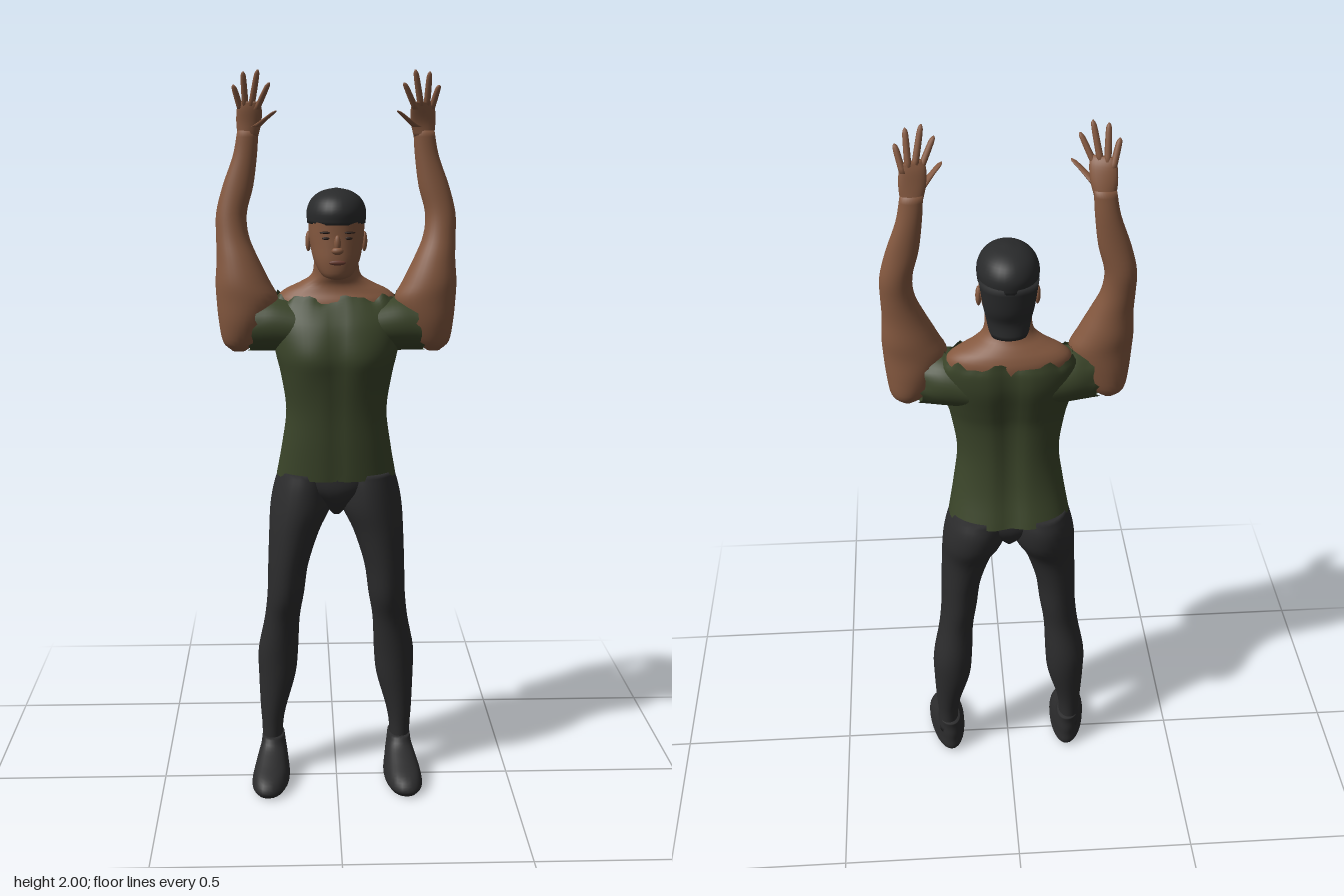
import * as THREE from 'three';

const mat = (name, color, side = THREE.FrontSide) => {
  const m = new THREE.MeshStandardMaterial({ color, side });
  m.name = name;
  return m;
};

// Smooth skin over horizontal elliptical rings [x, y, z, rx, rz], listed bottom up.
// bend(v, angle, t) may move each vertex.
function loft(rings, { seg = 28, sub = 4, square = 1, caps = true, bend } = {}) {
  const centre = new THREE.CatmullRomCurve3(rings.map(r => new THREE.Vector3(r[0], r[1], r[2])), false, 'catmullrom');
  const radii = new THREE.CatmullRomCurve3(rings.map(r => new THREE.Vector3(r[3], r[4], 0)), false, 'catmullrom');
  const rows = (rings.length - 1) * sub, pos = [], idx = [];
  const pw = n => Math.sign(n) * Math.abs(n) ** square;
  for (let i = 0; i <= rows; i++) {
    const t = i / rows, c = centre.getPoint(t), r = radii.getPoint(t);
    for (let j = 0; j < seg; j++) {
      const a = j / seg * Math.PI * 2;
      const v = new THREE.Vector3(c.x + r.x * pw(Math.sin(a)), c.y, c.z + r.y * pw(Math.cos(a)));
      if (bend) bend(v, a, t);
      pos.push(v.x, v.y, v.z);
      const k = i * seg + j, n = i * seg + (j + 1) % seg;
      if (i < rows) idx.push(k, n, n + seg, k, n + seg, k + seg);
    }
  }
  if (caps) {
    for (const row of [0, rows]) {
      const c = centre.getPoint(row / rows), m = new THREE.Vector3(c.x, c.y, c.z), id = pos.length / 3;
      if (bend) bend(m, 0, row / rows);
      pos.push(m.x, m.y, m.z);
      for (let j = 0; j < seg; j++) {
        const k = row * seg + j, n = row * seg + (j + 1) % seg;
        row ? idx.push(k, n, id) : idx.push(n, k, id);
      }
    }
  }
  const g = new THREE.BufferGeometry();
  g.setAttribute('position', new THREE.Float32BufferAttribute(pos, 3));
  g.setIndex(idx);
  g.computeVertexNormals();
  return g;
}

// Copy on the other side of x = 0, with corner order flipped
function mirrored(geo) {
  const g = geo.clone().scale(-1, 1, 1), a = g.index.array;
  for (let i = 0; i < a.length; i += 3) [a[i], a[i + 1]] = [a[i + 1], a[i]];
  g.computeVertexNormals();
  return g;
}

const blob = (x, y, z, rx, ry, rz) => new THREE.SphereGeometry(1, 16, 12).scale(rx, ry, rz).translate(x, y, z);
const bump = (d, w) => Math.exp(-((d / w) ** 2));
const jag = a => 0.008 * Math.sin(9 * a) + 0.005 * Math.sin(17 * a + 1);

export function createModel() {
  const group = new THREE.Group();
  const skin = mat('brown skin', 0x84583f);
  const shirt = mat('olive shirt', 0x3a4429, THREE.DoubleSide);
  const trousers = mat('charcoal cloth', 0x2c2c2d);
  const hairMat = mat('dark hair', 0x292a2b);
  const lipMat = mat('lips', 0x6a3c30);
  const eyeMat = mat('eyes', 0x2a1c16);
  const add = (name, geo, m) => {
    const mesh = new THREE.Mesh(geo, m);
    mesh.name = name;
    group.add(mesh);
  };
  const pair = (name, geo, m) => {
    add(name + 'Left', geo, m);
    add(name + 'Right', mirrored(geo), m);
  };

  // Shirt body with chest, spine groove and torn neckline
  add('shirtBody', loft([
    [0, 0.91, -0.04, 0.166, 0.115], [0, 1.0, -0.022, 0.15, 0.102], [0, 1.1, -0.012, 0.138, 0.097],
    [0, 1.2, -0.006, 0.152, 0.102], [0, 1.26, -0.01, 0.166, 0.11], [0, 1.33, -0.028, 0.176, 0.11],
    [0, 1.38, -0.045, 0.178, 0.095], [0, 1.408, -0.054, 0.165, 0.08],
  ], {
    seg: 64, square: 0.85, caps: false,
    bend(v, a, t) {
      if (v.z > 0) v.z += 0.008 * bump(Math.abs(v.x) - 0.07, 0.05) * bump(v.y - 1.25, 0.06) - 0.005 * bump(v.x, 0.02);
      else v.z += 0.014 * bump(v.x, 0.03);
      v.y += jag(a) * t ** 10;
    },
  }), shirt);

  // Sleeves: lofted upright, then laid along x
  pair('sleeve', loft([
    [-1.325, 0.1, -0.03, 0.07, 0.09], [-1.333, 0.17, -0.025, 0.073, 0.084], [-1.332, 0.222, -0.018, 0.071, 0.072],
  ], {
    seg: 40, caps: false,
    bend(v, a, t) { v.y += t * (0.2 * (v.x + 1.333)) + jag(a) * 0.6 * t ** 6; },
  }).rotateZ(-Math.PI / 2).scale(1, 1, 1), shirt);

  // Shoulders and neck
  add('shouldersAndNeck', loft([
    [0, 1.32, -0.04, 0.16, 0.08], [0, 1.39, -0.046, 0.165, 0.08], [0, 1.42, -0.05, 0.145, 0.07],
    [0, 1.443, -0.045, 0.1, 0.062], [0, 1.465, -0.032, 0.068, 0.058], [0, 1.5, -0.02, 0.06, 0.055], [0, 1.56, -0.015, 0.06, 0.055],
  ], { seg: 36 }), skin);

  // Head
  add('head', loft([
    [0, 1.463, 0.05, 0.016, 0.016], [0, 1.474, 0.042, 0.04, 0.04], [0, 1.51, 0.017, 0.061, 0.071],
    [0, 1.55, 0.0, 0.07, 0.087], [0, 1.58, -0.006, 0.074, 0.092], [0, 1.63, -0.01, 0.075, 0.097],
  ], { seg: 32, square: 0.92 }), skin);
  add('noseBridge', blob(0, 1.56, 0.088, 0.009, 0.022, 0.009), skin);
  add('noseTip', blob(0, 1.541, 0.09, 0.016, 0.01, 0.011), skin);
  add('lips', blob(0, 1.51, 0.085, 0.022, 0.007, 0.006), lipMat);
  pair('eye', blob(0.028, 1.573, 0.079, 0.012, 0.004, 0.005), eyeMat);
  pair('eyebrow', blob(0.03, 1.588, 0.08, 0.017, 0.003, 0.005), eyeMat);
  pair('ear', blob(0.075, 1.557, -0.012, 0.008, 0.027, 0.015), skin);

  // Cap-like hair and the hair behind the neck
  add('hairCap', loft([
    [0, 1.607, -0.012, 0.078, 0.1], [0, 1.64, -0.012, 0.079, 0.103], [0, 1.67, -0.012, 0.066, 0.086],
    [0, 1.689, -0.012, 0.04, 0.053], [0, 1.697, -0.012, 0.008, 0.01],
  ], { seg: 32 }), hairMat);
  add('hairBack', loft([
    [0, 1.468, -0.052, 0.05, 0.042], [0, 1.51, -0.045, 0.058, 0.046], [0, 1.55, -0.05, 0.066, 0.055], [0, 1.62, -0.05, 0.076, 0.063],
  ]), hairMat);

  // Arms raised, with swollen upper arms
  pair('arm', loft([
    [0.265, 1.26, -0.02, 0.018, 0.02], [0.262, 1.285, -0.02, 0.046, 0.045], [0.25, 1.34, -0.015, 0.068, 0.058],
    [0.24, 1.4, -0.013, 0.083, 0.061], [0.252, 1.45, -0.015, 0.073, 0.06], [0.265, 1.51, -0.02, 0.056, 0.05],
    [0.278, 1.57, -0.03, 0.044, 0.04], [0.28, 1.63, -0.038, 0.041, 0.035], [0.262, 1.7, -0.04, 0.041, 0.029],
    [0.242, 1.78, -0.041, 0.032, 0.023], [0.233, 1.845, -0.038, 0.028, 0.018],
  ]), skin);

  // Hands: palm turned so the thumb side points forward
  pair('palm', loft([
    [0.233, 1.83, -0.038, 0.027, 0.017], [0.23, 1.865, -0.032, 0.033, 0.014],
    [0.228, 1.9, -0.022, 0.033, 0.012], [0.228, 1.92, -0.014, 0.026, 0.007],
  ], { seg: 20, bend(v, a, t) { v.z += (0.23 - v.x) * 0.45 * t; } }), skin);
  // base x, y, z, tip x, y, z
  const fingers = [
    [0.251, 1.9, -0.03, 0.268, 1.962, -0.005], [0.238, 1.908, -0.022, 0.242, 1.995, 0.008],
    [0.222, 1.908, -0.014, 0.204, 2.0, 0.016], [0.208, 1.9, -0.008, 0.175, 1.968, 0.022],
    [0.212, 1.855, -0.022, 0.158, 1.897, 0.035],
  ];
  fingers.forEach((f, n) => {
    const at = (s, r) => [0, 1, 2].map(k => f[k] + (f[k + 3] - f[k]) * s).concat(r, r);
    pair(n < 4 ? 'finger' + (n + 1) : 'thumb', loft([
      at(0, n < 4 ? 0.009 : 0.013), at(0.5, 0.0085), at(0.88, 0.007), at(1, 0.002),
    ], { seg: 10, sub: 3 }), skin);
  });

  // Trousers
  pair('leg', loft([
    [0.186, 0.07, -0.04, 0.03, 0.041], [0.186, 0.14, -0.04, 0.03, 0.04], [0.183, 0.2, -0.042, 0.037, 0.045],
    [0.171, 0.3, -0.048, 0.053, 0.056], [0.167, 0.38, -0.047, 0.057, 0.061], [0.155, 0.48, -0.033, 0.05, 0.062],
    [0.144, 0.56, -0.021, 0.052, 0.077], [0.136, 0.65, -0.018, 0.057, 0.084], [0.118, 0.75, -0.022, 0.071, 0.094],
    [0.099, 0.82, -0.037, 0.086, 0.113], [0.09, 0.88, -0.043, 0.084, 0.116], [0.084, 0.925, -0.04, 0.076, 0.106],
  ]), trousers);
  add('pelvis', loft([
    [0, 0.8, -0.03, 0.015, 0.04], [0, 0.84, -0.03, 0.055, 0.08], [0, 0.88, -0.03, 0.12, 0.1], [0, 0.925, -0.03, 0.155, 0.1],
  ]), trousers);

  // Shoes, broader at the toes and turned slightly outward
  pair('shoe', loft([
    [0.186, 0, 0.034, 0.042, 0.11], [0.186, 0.018, 0.034, 0.051, 0.123], [0.186, 0.045, 0.024, 0.048, 0.112],
    [0.186, 0.07, -0.005, 0.043, 0.083], [0.186, 0.095, -0.03, 0.037, 0.055], [0.187, 0.118, -0.041, 0.034, 0.046],
  ], {
    square: 0.9,
    bend(v) { v.x = 0.186 + (v.x - 0.186) * (1 + 1.2 * (v.z - 0.02)) + 0.08 * v.z; },
  }), trousers);

  return group;
}
